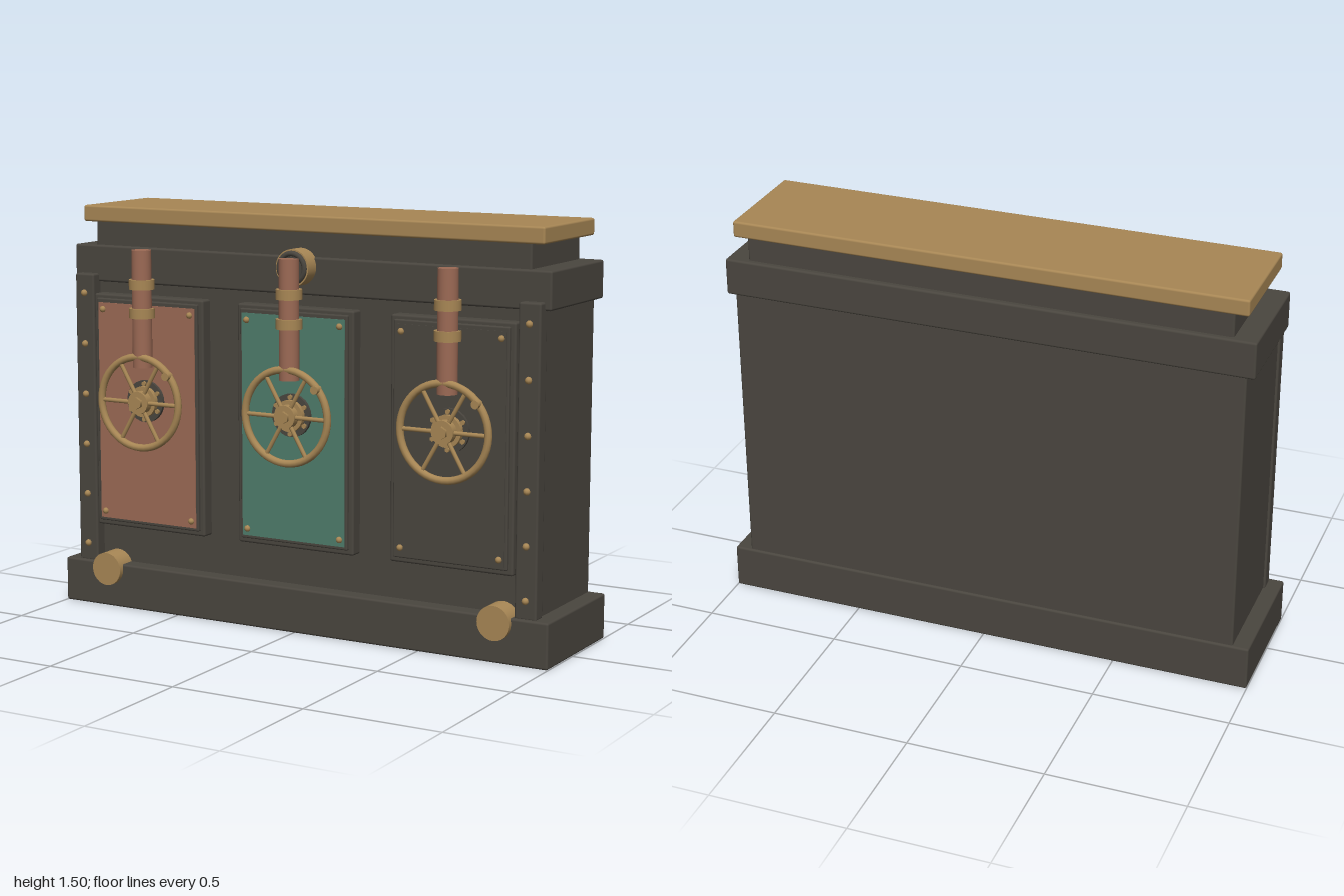
import * as THREE from 'three';
import { RoundedBoxGeometry } from 'three/addons/geometries/RoundedBoxGeometry.js';

const material = (name, color) => {
  const m = new THREE.MeshStandardMaterial({ color });
  m.name = name;
  return m;
};

export function createModel() {
  const iron = material('dark iron', 0x4a463f);
  const brass = material('brass', 0xa88755);
  const copper = material('copper', 0x9c6a55);
  const teal = material('teal enamel', 0x4f7d6c);

  const root = new THREE.Group();
  root.name = 'counter';

  const add = (parent, name, geometry, mat, x = 0, y = 0, z = 0) => {
    const mesh = new THREE.Mesh(geometry, mat);
    mesh.name = name;
    mesh.position.set(x, y, z);
    parent.add(mesh);
    return mesh;
  };
  // Bevelled box given by its limits on each axis
  const block = (parent, name, mat, [x0, x1], [y0, y1], [z0, z1], bevel = 0.008) =>
    add(parent, name, new RoundedBoxGeometry(x1 - x0, y1 - y0, z1 - z0, 2, bevel), mat,
      (x0 + x1) / 2, (y0 + y1) / 2, (z0 + z1) / 2);
  // Disc or rod lying along z
  const disc = (parent, name, mat, r, x, y, z0, z1, sides = 24) =>
    add(parent, name, new THREE.CylinderGeometry(r, r, z1 - z0, sides).rotateX(Math.PI / 2), mat,
      x, y, (z0 + z1) / 2);
  const rivet = (parent, x, y, z, r) =>
    add(parent, 'rivet', new THREE.SphereGeometry(r, 10, 6), brass, x, y, z);

  // Cabinet, from the plinth up to the worktop
  block(root, 'plinth', iron, [-1, 1], [0, 0.165], [-0.28, 0.212]);
  block(root, 'body', iron, [-0.94, 0.94], [0.15, 1.24], [-0.272, 0.15]);
  block(root, 'upperBand', iron, [-0.97, 0.97], [1.22, 1.355], [-0.28, 0.16]);
  block(root, 'neck', iron, [-0.887, 0.887], [1.345, 1.45], [-0.26, 0.14]);
  block(root, 'worktop', brass, [-0.937, 0.937], [1.44, 1.5], [-0.27, 0.15]);

  // Riveted corner posts and brass bosses
  for (const s of [-1, 1]) {
    const post = new THREE.Group();
    post.name = s > 0 ? 'leftPost' : 'rightPost';
    root.add(post);
    const c = s * 0.907;
    block(post, 'postBar', iron, [c - 0.041, c + 0.041], [0.16, 1.25], [0.14, 0.195]);
    for (let i = 0; i < 6; i++) rivet(post, c, 0.228 + i * 0.19, 0.196, 0.013);
    disc(root, 'boss', brass, 0.062, s * 0.802, 0.145, 0.15, 0.232);
  }

  // Handwheel with six spokes on a bolted flange
  const makeWheel = () => {
    const wheel = new THREE.Group();
    wheel.name = 'handwheel';
    disc(wheel, 'flange', iron, 0.078, 0, 0, 0.205, 0.226);
    disc(wheel, 'flangeCap', brass, 0.057, 0, 0, 0.22, 0.244);
    disc(wheel, 'hub', brass, 0.042, 0, 0, 0.24, 0.274);
    disc(wheel, 'hubNut', brass, 0.022, 0, 0, 0.27, 0.286, 6);
    add(wheel, 'rim', new THREE.TorusGeometry(0.168, 0.0135, 10, 48), brass, 0, 0, 0.26);
    for (let i = 0; i < 6; i++) {
      const a = i * Math.PI / 3, b = a + Math.PI / 6;
      const spoke = add(wheel, 'spoke', new THREE.CylinderGeometry(0.008, 0.008, 0.13, 8), brass,
        Math.cos(a) * 0.1, Math.sin(a) * 0.1, 0.26);
      spoke.rotation.z = a - Math.PI / 2;
      disc(wheel, 'flangeBolt', brass, 0.009, Math.cos(b) * 0.066, Math.sin(b) * 0.066, 0.22, 0.235, 6);
    }
    disc(wheel, 'wheelKnob', brass, 0.015, 0.128, 0.108, 0.255, 0.286, 16);
    return wheel;
  };

  // Three stations: framed panel, pipe with collars, handwheel
  [[-0.622, copper], [0, teal], [0.622, iron]].forEach(([x, mat]) => {
    const station = new THREE.Group();
    station.name = 'station';
    station.position.x = x;
    root.add(station);
    block(station, 'panelFrame', iron, [-0.238, 0.238], [0.308, 1.18], [0.14, 0.198]);
    block(station, 'panelMount', iron, [-0.22, 0.22], [0.328, 1.165], [0.18, 0.211], 0.005);
    add(station, 'panelFace', new THREE.BoxGeometry(0.42, 0.81, 0.006), mat, 0, 0.745, 0.211);
    for (const sx of [-1, 1]) for (const sy of [-1, 1])
      rivet(station, sx * 0.19, 0.745 + sy * 0.38, 0.214, 0.012);

    add(station, 'pipe', new THREE.CylinderGeometry(0.036, 0.036, 0.43, 24), copper, 0, 1.14, 0.237);
    for (const y of [1.125, 1.23])
      add(station, 'pipeCollar', new THREE.CylinderGeometry(0.047, 0.047, 0.036, 24), brass, 0, y, 0.237);

    const wheel = makeWheel();
    wheel.position.y = 0.797;
    station.add(wheel);
  });

  // Round gauge behind the middle pipe
  const gauge = new THREE.Group();
  gauge.name = 'gauge';
  root.add(gauge);
  disc(gauge, 'gaugeCase', brass, 0.066, 0, 1.32, 0.15, 0.216, 32);
  disc(gauge, 'gaugeFace', iron, 0.05, 0, 1.32, 0.2, 0.219, 32);
  add(gauge, 'gaugeBezel', new THREE.TorusGeometry(0.051, 0.01, 8, 32), iron, 0, 1.32, 0.217);

  return root;
}
